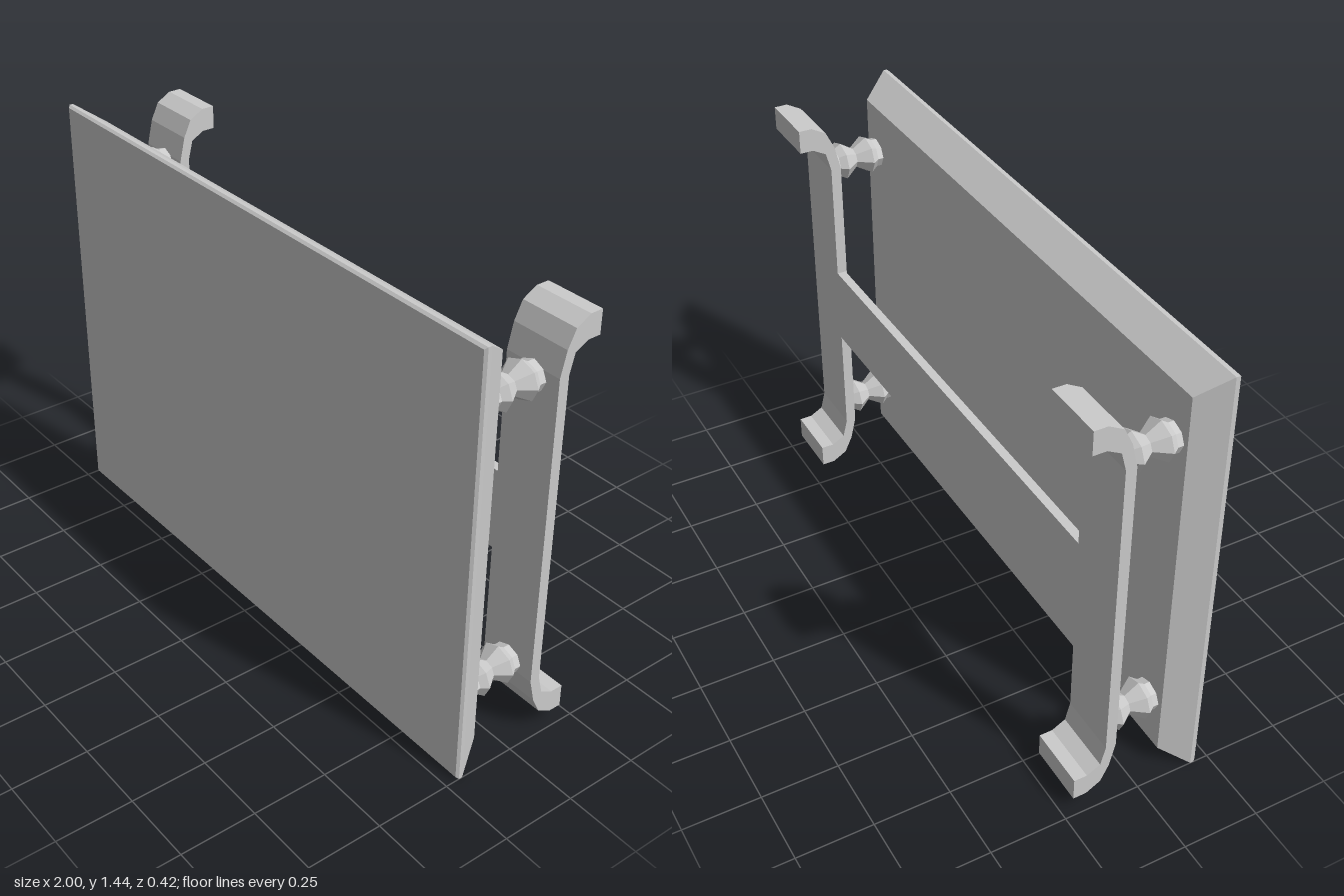
import * as THREE from 'three';
import { ConvexGeometry } from 'three/addons/geometries/ConvexGeometry.js';

const material = new THREE.MeshStandardMaterial({ color: 0xcccccc, flatShading: true });

function addMesh(parent, name, geometry) {
  const mesh = new THREE.Mesh(geometry, material);
  mesh.name = name;
  parent.add(mesh);
  return mesh;
}

// Rectangular slab: thin eased front edge, wide bevel towards the back
function panelGeometry() {
  const rings = [[0.21, 0.007, 0.007], [0.202, 0, 0], [0.19, 0, 0], [0.1, 0.052, 0.065]];
  const points = [];
  for (const [z, insetX, insetY] of rings) {
    for (const sx of [-1, 1]) {
      for (const sy of [-1, 1]) {
        points.push(new THREE.Vector3(sx * (1 - insetX), 0.72 + sy * (0.72 - insetY), z));
      }
    }
  }
  return new ConvexGeometry(points);
}

// Side profile of a bracket with hooked ends, extruded across its width
function bracketGeometry(width) {
  const mid = 0.726;
  const outer = [[-0.076, 1.242], [-0.095, 1.322], [-0.122, 1.378], [-0.17, 1.405], [-0.213, 1.405]];
  const inner = [[-0.213, 1.328], [-0.17, 1.328], [-0.126, 1.304], [-0.11, 1.242]];
  const upper = [...outer, ...inner];
  const lower = upper.map(([z, y]) => [z, 2 * mid - y]).reverse();
  const shape = new THREE.Shape([...upper, ...lower].map(([z, y]) => new THREE.Vector2(-z, y)));
  const geometry = new THREE.ExtrudeGeometry(shape, { depth: width, bevelEnabled: false });
  geometry.translate(0, 0, -width / 2);
  geometry.rotateY(Math.PI / 2); // shape x becomes -z, depth becomes x
  return geometry;
}

// Eight-sided double-bead spacer lying along z
function spacerGeometry() {
  const profile = [
    [0.053, -0.08], [0.053, -0.055], [0.07, -0.032], [0.036, 0.013],
    [0.07, 0.06], [0.053, 0.082], [0.053, 0.105],
  ].map(([r, z]) => new THREE.Vector2(r, z));
  const geometry = new THREE.LatheGeometry(profile, 8);
  geometry.rotateX(Math.PI / 2);
  geometry.scale(1, 0.88, 1);
  return geometry;
}

export function createModel() {
  const model = new THREE.Group();
  model.name = 'wallPanel';

  addMesh(model, 'panel', panelGeometry());

  // Two brackets, each carrying an upper and a lower spacer
  const bracket = bracketGeometry(0.198);
  const spacer = spacerGeometry();
  for (const [side, x] of [['right', -0.88], ['left', 0.888]]) {
    addMesh(model, side + 'Bracket', bracket).position.x = x;
    for (const [level, y] of [['Lower', 0.24], ['Upper', 1.211]]) {
      addMesh(model, side + level + 'Spacer', spacer).position.set(x, y, 0);
    }
  }

  // Crossbar joining the brackets
  const bar = addMesh(model, 'crossbar', new THREE.BoxGeometry(1.572, 0.265, 0.029));
  bar.position.set(0.004, 0.712, -0.0955);

  return model;
}
